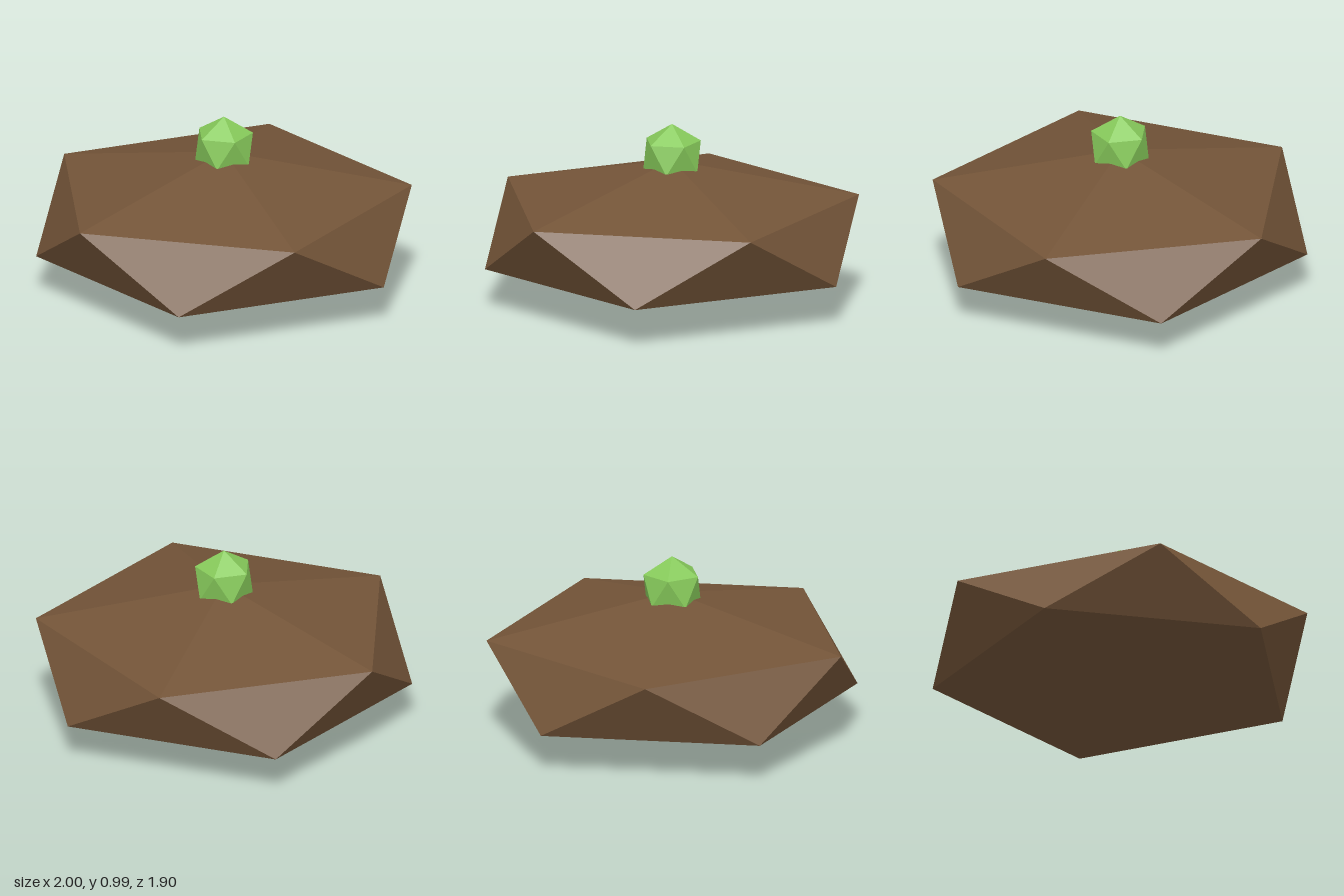
import * as THREE from 'three';

// Icosahedron standing on a corner, with one corner of its upper ring towards +x
function uprightIcosahedron(ringRadius, halfHeight) {
  const geometry = new THREE.IcosahedronGeometry(1, 0);
  geometry.rotateZ(-Math.atan(2 / (1 + Math.sqrt(5))));
  const s = ringRadius * Math.sqrt(5) / 2;
  geometry.scale(s, halfHeight, s);
  return geometry;
}

export function createModel() {
  const model = new THREE.Group();
  const soil = new THREE.MeshStandardMaterial({ name: 'soil brown', color: 0x735438, flatShading: true });
  const leaf = new THREE.MeshStandardMaterial({ name: 'leaf green', color: 0x86c95a, flatShading: true });

  const add = (name, ringRadius, halfHeight, y, material) => {
    const mesh = new THREE.Mesh(uprightIcosahedron(ringRadius, halfHeight), material);
    mesh.name = name;
    mesh.position.y = y;
    model.add(mesh);
  };

  // Flattened mound of earth
  add('mound', 1, 0.393, 0.393, soil);
  // Small bush, partly sunk into the top of the mound
  add('bush', 0.154, 0.172, 0.813, leaf);

  return model;
}
